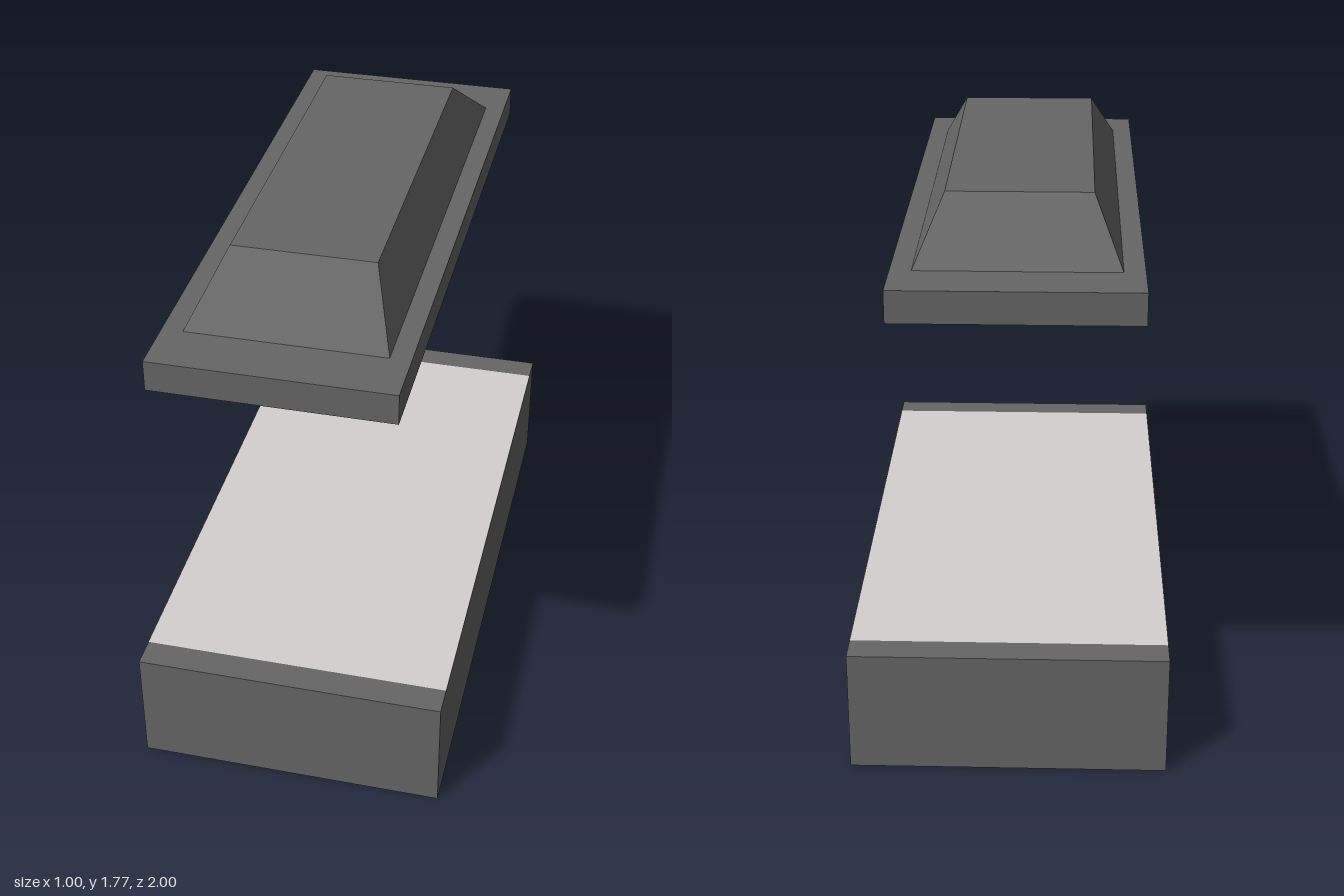
import * as THREE from 'three';

const darkGrey = new THREE.MeshStandardMaterial({ color: 0x666666 });
darkGrey.name = 'dark grey';
const paleGrey = new THREE.MeshStandardMaterial({ color: 0xd5d0d0 });
paleGrey.name = 'pale grey';

// Box given by its limits in x and y, centred on z
function block(name, x0, x1, y0, y1, depth) {
  const geometry = new THREE.BoxGeometry(x1 - x0, y1 - y0, depth);
  geometry.translate((x0 + x1) / 2, (y0 + y1) / 2, 0);
  const mesh = new THREE.Mesh(geometry, darkGrey);
  mesh.name = name;
  return mesh;
}

// Box whose upper corners are drawn in by a fixed amount on each axis
function taperedBlock(name, x0, x1, y0, y1, depth, insetX, insetZ) {
  const mesh = block(name, x0, x1, y0, y1, depth);
  const middleX = (x0 + x1) / 2;
  const position = mesh.geometry.attributes.position;
  for (let i = 0; i < position.count; i++) {
    if (position.getY(i) < (y0 + y1) / 2) continue;
    const x = position.getX(i), z = position.getZ(i);
    position.setX(i, x - Math.sign(x - middleX) * insetX);
    position.setZ(i, z - Math.sign(z) * insetZ);
  }
  mesh.geometry.computeVertexNormals();
  return mesh;
}

export function createModel() {
  const model = new THREE.Group();
  model.name = 'boxWithRaisedLid';

  // Lower body with a pale panel across its top
  model.add(block('base', -0.5, 0.5, 0, 0.4, 2));
  const panel = new THREE.Mesh(new THREE.PlaneGeometry(1, 1.81), paleGrey);
  panel.name = 'topPanel';
  panel.rotation.x = -Math.PI / 2;
  panel.position.y = 0.401;
  model.add(panel);

  // Floating lid: flat plate and sloped crown, slightly off centre
  const lid = new THREE.Group();
  lid.name = 'lid';
  lid.add(block('lidPlate', -0.4, 0.35, 1.5, 1.6, 2));
  lid.add(taperedBlock('lidCrown', -0.335, 0.285, 1.6, 1.775, 1.65, 0.085, 0.225));
  model.add(lid);

  return model;
}
